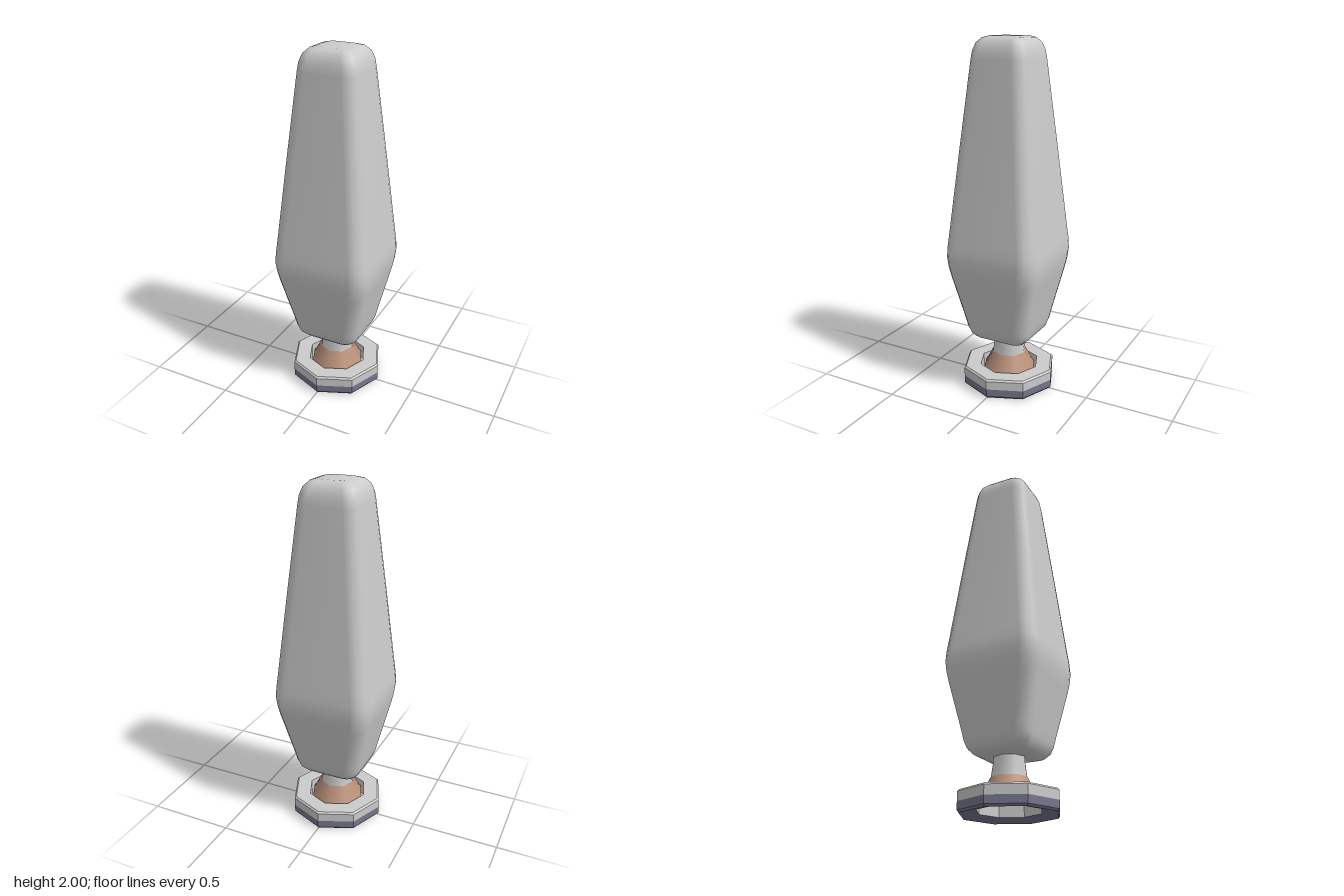
import * as THREE from 'three';
import { toCreasedNormals } from 'three/addons/utils/BufferGeometryUtils.js';

const paint = (color) => new THREE.MeshStandardMaterial({ color, side: THREE.DoubleSide });
const grey = paint(0xcccccc), tan = paint(0xb98f78), slate = paint(0x74768c);

function add(group, name, geometry, material) {
  const mesh = new THREE.Mesh(geometry, material);
  mesh.name = name;
  group.add(mesh);
}

function lathe(points, sides) {
  return new THREE.LatheGeometry(points.map(([r, y]) => new THREE.Vector2(r, y)), sides);
}

// Skin of rounded-square sections: [height, half width, corner radius]
function roundedSquareLoft(sections, depthRatio) {
  const cornerSteps = 3, n = 4 * (cornerSteps + 1);
  const positions = [], index = [];
  for (const [y, half, r] of sections) {
    for (let c = 0; c < 4; c++) {
      const mid = (c + 0.5) * Math.PI / 2;
      const cx = Math.sign(Math.cos(mid)) * (half - r);
      const cz = Math.sign(Math.sin(mid)) * (half - r);
      for (let s = 0; s <= cornerSteps; s++) {
        const a = (c + s / cornerSteps) * Math.PI / 2;
        positions.push(cx + r * Math.cos(a), y, (cz + r * Math.sin(a)) * depthRatio);
      }
    }
  }
  const rows = sections.length, bottom = rows * n, top = bottom + 1;
  positions.push(0, sections[0][0], 0, 0, sections[rows - 1][0], 0);
  for (let i = 0; i < n; i++) {
    const k = (i + 1) % n;
    for (let j = 0; j < rows - 1; j++) {
      const a = j * n + i, b = j * n + k;
      index.push(a, a + n, b, b, a + n, b + n);
    }
    index.push(bottom, i, k, top, (rows - 1) * n + k, (rows - 1) * n + i);
  }
  const geometry = new THREE.BufferGeometry();
  geometry.setAttribute('position', new THREE.Float32BufferAttribute(positions, 3));
  geometry.setIndex(index);
  geometry.computeVertexNormals();
  return geometry;
}

export function createModel() {
  const group = new THREE.Group();

  // Tall tapered body with soft ends
  add(group, 'body', roundedSquareLoft([
    [0.295, 0.125, 0.04], [0.305, 0.158, 0.055], [0.33, 0.183, 0.065], [0.37, 0.198, 0.07],
    [0.42, 0.208, 0.072], [0.68, 0.266, 0.082], [0.74, 0.278, 0.085], [0.8, 0.284, 0.085],
    [0.86, 0.281, 0.085], [0.93, 0.273, 0.084], [1.4, 0.223, 0.077], [1.88, 0.17, 0.068],
    [1.925, 0.163, 0.066], [1.965, 0.147, 0.06], [1.99, 0.121, 0.05], [2, 0.085, 0.035],
  ], 0.975), grey);

  // Neck, flaring down into the open ring
  add(group, 'neck', lathe([[0.1, 0.19], [0.091, 0.25], [0.085, 0.32]], 8), grey);
  add(group, 'neckFlare', lathe([[0.158, 0.085], [0.14, 0.115], [0.122, 0.15], [0.1, 0.19]], 8), tan);

  // Eight-sided foot ring: dark lower band, pale upper band and bore
  add(group, 'footLower', toCreasedNormals(lathe(
    [[0.175, 0.02], [0.265, 0], [0.275, 0.012], [0.275, 0.055]], 8), 0.5), slate);
  add(group, 'footUpper', toCreasedNormals(lathe(
    [[0.275, 0.055], [0.275, 0.105], [0.265, 0.115], [0.175, 0.115], [0.175, 0.02]], 8), 0.5), grey);

  return group;
}
